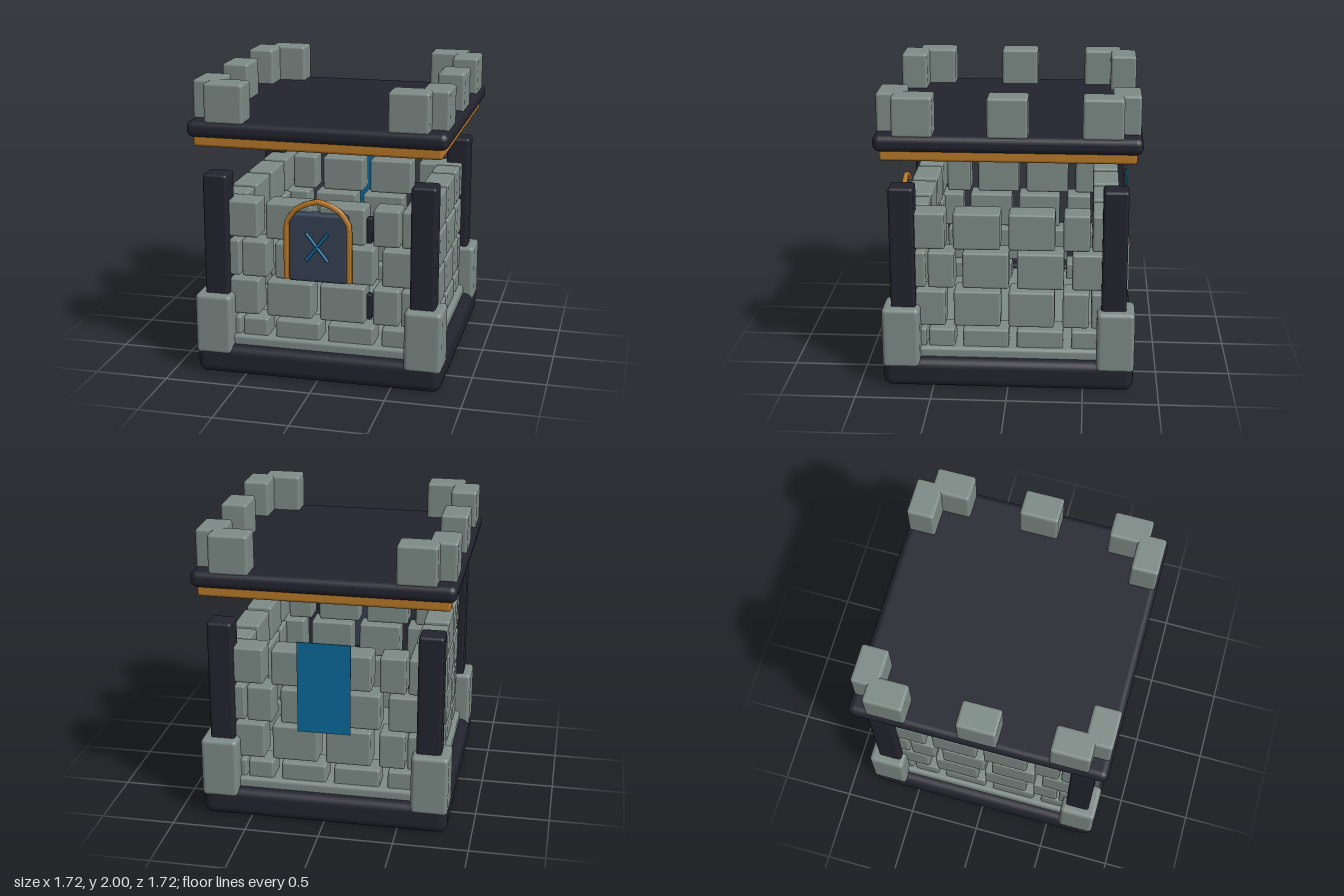
import * as THREE from 'three';
import { RoundedBoxGeometry } from 'three/addons/geometries/RoundedBoxGeometry.js';

const material = (name, color) => {
  const m = new THREE.MeshStandardMaterial({ color });
  m.name = name;
  return m;
};

export function createModel() {
  const stone = material('stone', 0x7d8a86);
  const dark = material('darkSlate', 0x23232e);
  const gold = material('goldTrim', 0xb87828);
  const blue = material('blueCloth', 0x0b6a9c);
  const slate = material('doorSlate', 0x354152);

  const model = new THREE.Group();
  model.name = 'stoneKeep';

  const add = (parent, name, geometry, mat) => {
    const mesh = new THREE.Mesh(geometry, mat);
    mesh.name = name;
    parent.add(mesh);
    return mesh;
  };
  // Rounded block given by its low and high limits on each axis
  const block = (parent, name, mat, [x0, x1], [y0, y1], [z0, z1], r) => {
    const g = new RoundedBoxGeometry(x1 - x0, y1 - y0, z1 - z0, 3, r);
    const mesh = add(parent, name, g, mat);
    mesh.position.set((x0 + x1) / 2, (y0 + y1) / 2, (z0 + z1) / 2);
    return mesh;
  };
  const square = (name, mat, half, y, r) =>
    block(model, name, mat, [-half, half], y, [-half, half], r);

  // Foundation and plinth
  square('foundation', dark, 0.835, [0, 0.2], 0.06);
  square('plinth', stone, 0.765, [0.15, 0.265], 0.025);

  // Four walls of staggered blocks that interlock at the corners
  const row = [[-0.73, -0.42], [-0.365, -0.055], [0, 0.305], [0.36, 0.535]];
  for (let side = 0; side < 4; side++) {
    const wall = new THREE.Group();
    wall.name = 'wall';
    wall.rotation.y = side * Math.PI / 2;
    for (let course = 0; course < 4; course++) {
      const y = 0.137 + course * 0.271;
      for (const [a, b] of row) {
        const span = course % 2 ? [a, b] : [-b, -a];
        block(wall, 'wallBlock', stone, span, [y, y + 0.249], [0.55, 0.73], 0.016);
      }
    }
    model.add(wall);
  }

  // Corner posts and their stone feet
  for (const sx of [-1, 1]) {
    for (const sz of [-1, 1]) {
      const post = block(model, 'cornerPost', dark, [0.615, 0.78], [0.15, 1.38], [0.615, 0.78], 0.02);
      const foot = block(model, 'cornerFoot', stone, [0.587, 0.838], [0.14, 0.56], [0.587, 0.838], 0.03);
      for (const m of [post, foot]) {
        m.position.x *= sx;
        m.position.z *= sz;
      }
    }
  }

  // Raised roof slab with gold underside
  square('roofTrim', gold, 0.82, [1.575, 1.66], 0.02);
  square('roofSlab', dark, 0.858, [1.64, 1.75], 0.045);

  // Battlements: paired at the corners, single on the left and right edges
  const merlon = (x, z, w, d) =>
    block(model, 'merlon', stone, [x - w / 2, x + w / 2], [1.735, 2], [z - d / 2, z + d / 2], 0.02);
  for (const sx of [-1, 1]) {
    merlon(sx * 0.753, 0, 0.183, 0.262);
    for (const sz of [-1, 1]) {
      merlon(sx * 0.604, sz * 0.753, 0.262, 0.183);
      merlon(sx * 0.753, sz * 0.604, 0.183, 0.262);
    }
  }

  // Door with two hinges set into the wall joints
  block(model, 'door', slate, [-0.2, 0.2], [0.69, 1.157], [0.69, 0.778], 0.02);
  for (const y of [0.445, 0.97]) {
    block(model, 'hinge', dark, [0.317, 0.354], [y, y + 0.177], [0.68, 0.735], 0.01);
  }

  // Gold arch around the door
  const archPoints = [
    [-0.213, 0.7], [-0.213, 0.9], [-0.21, 1.09], [-0.155, 1.175], [-0.085, 1.218], [0, 1.24],
    [0.085, 1.218], [0.155, 1.175], [0.21, 1.09], [0.213, 0.9], [0.213, 0.7],
  ].map(([x, y]) => new THREE.Vector3(x, y, 0.765));
  const arch = new THREE.CurvePath();
  for (let i = 1; i < archPoints.length; i++) {
    arch.add(new THREE.LineCurve3(archPoints[i - 1], archPoints[i]));
  }
  add(model, 'doorArch', new THREE.TubeGeometry(arch, 40, 0.02, 6), gold);

  // Crossed rods on the door
  for (const s of [-1, 1]) {
    const rod = add(model, 'crossedRod', new THREE.CylinderGeometry(0.011, 0.011, 0.24, 8), blue);
    rod.position.set(0, 0.938, 0.793);
    rod.rotation.z = s * 0.66;
  }

  // Banner hung on the back
  const banner = add(model, 'banner', new THREE.BoxGeometry(0.356, 0.635, 0.009), blue);
  banner.position.set(0, 0.972, -0.776);

  return model;
}
